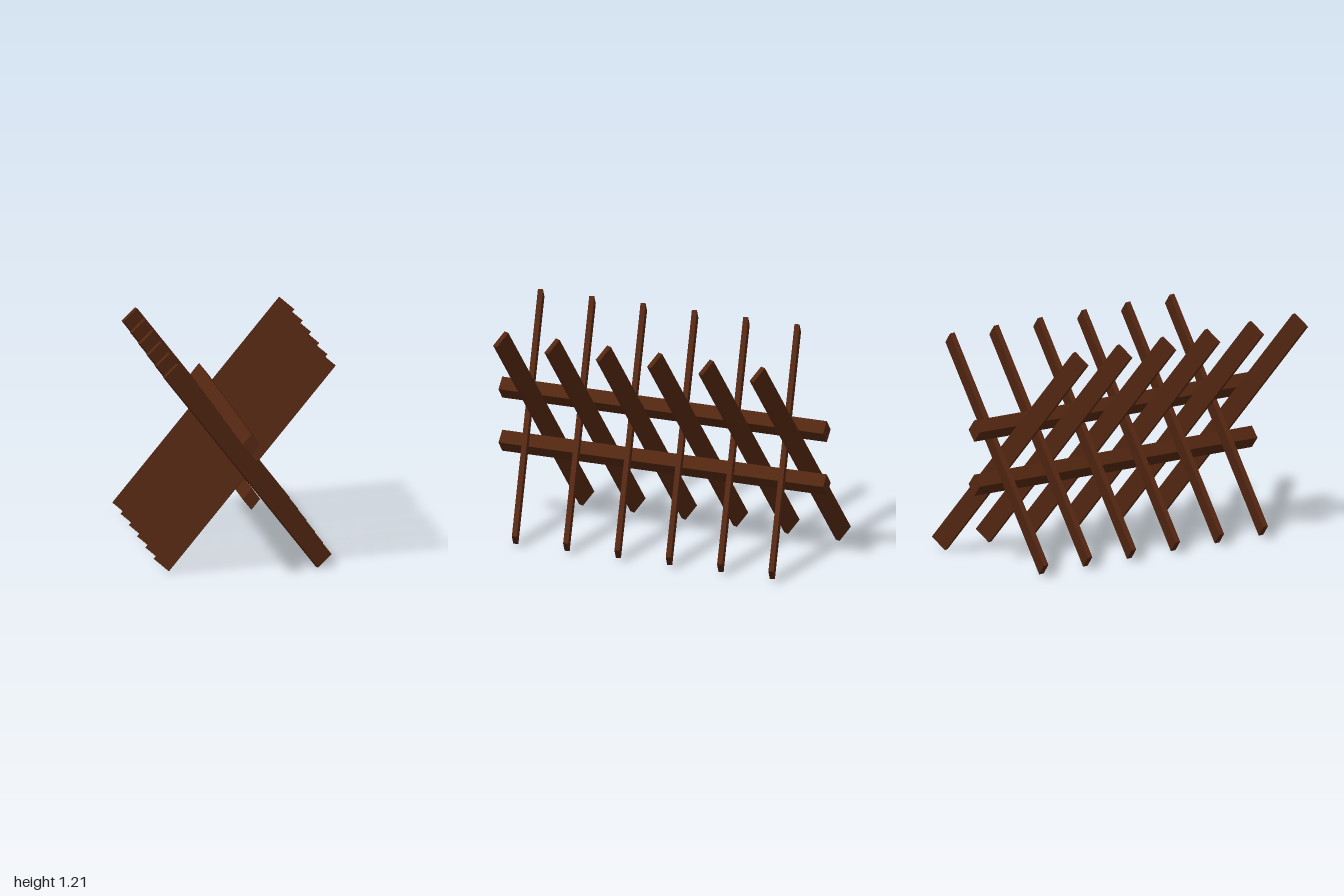
import * as THREE from 'three';

const COUNT = 6;
const SPACING = 0.313;

export function createModel() {
  const model = new THREE.Group();
  model.name = 'stakeBarricade';
  const wood = new THREE.MeshStandardMaterial({ color: 0x532611 });
  wood.name = 'darkWood';

  // Diamond-section rails running front to back
  const diamond = new THREE.Shape([
    new THREE.Vector2(0, -0.06), new THREE.Vector2(0.048, 0),
    new THREE.Vector2(0, 0.06), new THREE.Vector2(-0.048, 0),
  ]);
  const railGeometry = new THREE.ExtrudeGeometry(diamond, { depth: 1.98, bevelEnabled: false });
  for (const [name, y] of [['lowerRail', 0.455], ['upperRail', 0.76]]) {
    const rail = new THREE.Mesh(railGeometry, wood);
    rail.name = name;
    rail.position.set(0, y, -1);
    model.add(rail);
  }

  // A row of planks: along = bottom to top, across = direction of the plank's width
  function addPlankRow(name, along, across, firstZ) {
    const geometry = new THREE.BoxGeometry(0.107, along.length(), 0.028);
    const up = along.clone().normalize();
    const out = across.clone().cross(up).normalize();
    const side = up.clone().cross(out);
    const basis = new THREE.Matrix4().makeBasis(side, up, out);
    const row = new THREE.Group();
    row.name = name + 's';
    for (let i = 0; i < COUNT; i++) {
      const plank = new THREE.Mesh(geometry, wood);
      plank.name = name;
      plank.quaternion.setFromRotationMatrix(basis);
      plank.position.set(0, 0.612, firstZ - i * SPACING);
      row.add(plank);
    }
    model.add(row);
  }

  // Two crossing rows, leaning to opposite sides
  addPlankRow('rightLeaningPlank', new THREE.Vector3(-0.89, 1.145, 0.27), new THREE.Vector3(0.74, 0.62, -0.27), 0.822);
  addPlankRow('leftLeaningPlank', new THREE.Vector3(0.912, 1.142, 0.085), new THREE.Vector3(0.74, -0.61, 0.3), 0.727);

  return model;
}
